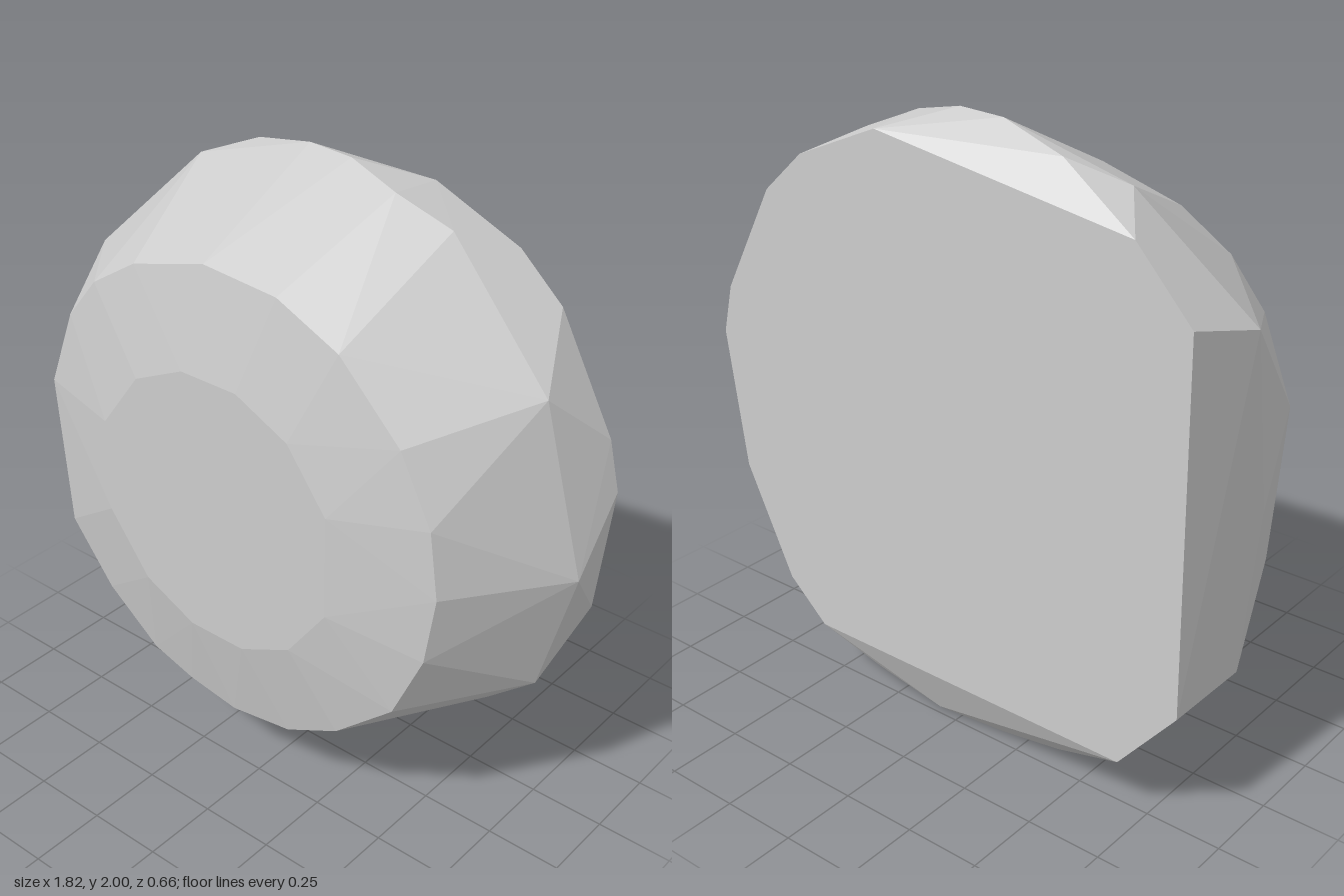
import * as THREE from 'three';
import { ConvexGeometry } from 'three/addons/geometries/ConvexGeometry.js';

const stone = new THREE.MeshStandardMaterial({ color: 0xcccccc });
stone.name = 'stone grey';

const ring = (z, points) => points.map(([x, y]) => new THREE.Vector3(x, y, z));

export function createModel() {
  const group = new THREE.Group();
  group.name = 'facetedStone';

  // Flat front table, mirrored about y = 1
  const half = [[0.34, 1.17], [0.2, 1.36], [0.01, 1.45], [-0.2, 1.45], [-0.39, 1.36], [-0.54, 1.16]];
  const table = ring(0.33, [...half, ...half.map(([x, y]) => [x, 2 - y])]);

  // Front rim, where the shallow bevel meets the sloping flank
  const rim = ring(0.265, [
    [-0.16, 1.775], [0.11, 1.755], [0.33, 1.655], [0.545, 1.44], [0.655, 1.225], [0.685, 1.01],
    [0.65, 0.78], [0.545, 0.545], [0.335, 0.355], [0.14, 0.255], [-0.09, 0.22], [-0.28, 0.25],
    [-0.44, 0.3], [-0.64, 0.455], [-0.8, 0.66], [-0.84, 1.175], [-0.735, 1.44], [-0.615, 1.585],
    [-0.44, 1.695],
  ]);

  // Irregular widest girdle, cut flat on the right at x = -0.91
  const girdle = [
    [-0.57, 1.88, -0.17], [-0.4, 1.945, -0.25], [-0.16, 2, -0.2], [0.01, 2, -0.18],
    [0.2, 1.955, -0.14], [0.38, 1.88, -0.17], [0.76, 1.51, -0.11], [0.905, 0.97, -0.12],
    [0.885, 0.8, -0.25], [0.8, 0.555, -0.11], [0.31, 0.09, -0.27], [0.07, 0.02, -0.245],
    [-0.16, 0, -0.2], [-0.4, 0.06, -0.23], [-0.57, 0.12, -0.17], [-0.91, 0.47, -0.06],
    [-0.91, 0.95, 0.03], [-0.91, 1.53, -0.06],
  ].map((p) => new THREE.Vector3(...p));

  // Flat back
  const back = ring(-0.33, [
    [0.2, 1.935], [0.5, 1.81], [0.65, 1.675], [0.845, 1.32], [0.885, 1.16], [0.82, 0.7],
    [0.645, 0.335], [0.5, 0.205], [-0.69, 0.205], [-0.885, 0.44], [-0.875, 1.6], [-0.69, 1.8],
  ]);

  const body = new THREE.Mesh(new ConvexGeometry([...table, ...rim, ...girdle, ...back]), stone);
  body.name = 'stoneBody';
  group.add(body);
  return group;
}
